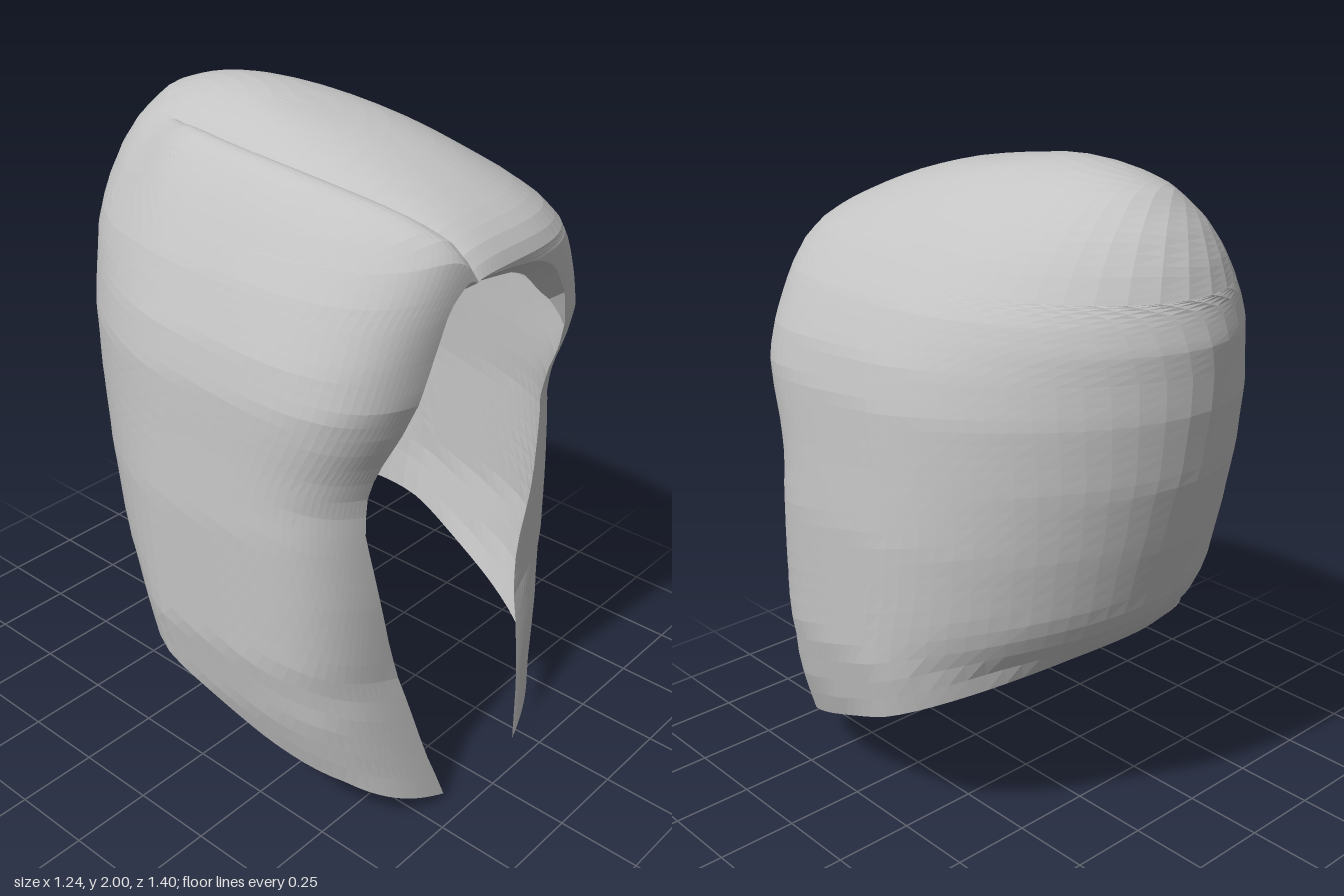
import * as THREE from 'three';

const { lerp, smoothstep } = THREE.MathUtils;

// Piecewise interpolation of [y, value] pairs, eased in sqrt(2 - y) so the dome stays round
const key = y => Math.sqrt(Math.max(0, 2 - y));
function at(table, y) {
  if (y <= table[0][0]) return table[0][1];
  for (let i = 1; i < table.length; i++) {
    const [y1, b] = table[i], [y0, a] = table[i - 1];
    if (y <= y1) return a + (b - a) * (key(y) - key(y0)) / (key(y1) - key(y0));
  }
  return table[table.length - 1][1];
}

// Horizontal section by height: half width, front, back, centre, front and back squareness
const WIDTH = [[0, .48], [.17, .51], [.28, .548], [.4, .585], [.6, .62], [1, .622], [1.2, .608], [1.38, .597],
  [1.5, .57], [1.64, .505], [1.77, .405], [1.87, .3], [1.94, .2], [1.985, .1], [2, 0]];
const FRONT = [[0, .68], [.3, .63], [.5, .595], [.8, .59], [1.1, .572], [1.2, .595], [1.3, .635], [1.4, .662],
  [1.5, .672], [1.6, .688], [1.7, .7], [1.75, .675], [1.8, .61], [1.85, .51], [1.9, .38], [1.95, .2],
  [1.98, 0], [2, -.2]];
const BACK = [[.4, -.36], [.62, -.42], [.68, -.475], [.73, -.515], [.8, -.55], [1, -.61], [1.2, -.665],
  [1.4, -.695], [1.58, -.7], [1.7, -.668], [1.77, -.64], [1.85, -.59], [1.94, -.5], [1.975, -.4], [2, -.2]];
const CENTRE = [[1.75, 0], [1.9, -.05], [1.95, -.1], [2, -.2]];
const SQUARE = [[0, 4], [.4, 4.4], [1.4, 4.4], [1.7, 3.1], [1.85, 2.4], [2, 2.1]];
const BACK_SQUARE = [[1.5, 1.8], [1.85, 2.15]];

// x of the parting at depth z, and where it ends at the back and front
const PART_BACK = -.4, PART_FRONT_X = -.15;
function partX(z) {
  const u = (z - .15) / .55;
  return -.26 + .09 * u * u + .02 * u;
}

// Face opening: x of each edge by height; both meet at the parting
const ARCH = 1.7;
const EDGE_LEFT = [[0, .21], [.2, .26], [.4, .275], [.65, .28], [.85, .36], [1.05, .4], [1.25, .385],
  [1.5, .31], [1.6, .225], [1.64, .17], [1.67, .09], [1.69, -.05], [ARCH, PART_FRONT_X]];
const EDGE_RIGHT = [[.02, -.15], [.2, -.21], [.4, -.26], [.62, -.32], [.8, -.36], [1, -.4], [1.15, -.39],
  [1.35, -.33], [1.55, -.26], [1.6, -.24], [1.64, -.2], [ARCH, PART_FRONT_X]];

function edgeAngle(table, y) {
  const x = at(table, y), n = at(SQUARE, y);
  const z = at(FRONT, y) * Math.pow(1 - Math.pow(Math.abs(x) / at(WIDTH, y), n), 1 / n);
  return Math.atan2(x, z);
}

// Relative distance of (x, z) from the section centre: 1 on the surface
function sectionNorm(x, z, y) {
  const dz = z - at(CENTRE, y), n = at(dz > 0 ? SQUARE : BACK_SQUARE, y);
  const depth = Math.abs(at(dz > 0 ? FRONT : BACK, y) - at(CENTRE, y));
  return Math.pow(Math.pow(Math.abs(x) / Math.max(at(WIDTH, y), 1e-5), n)
    + Math.pow(Math.abs(dz) / Math.max(depth, 1e-5), n), 1 / n);
}

// Point on the shell: s runs from the left face edge round the back to the right face edge
function shellPoint(s, y) {
  const a = lerp(edgeAngle(EDGE_LEFT, y), 2 * Math.PI + edgeAngle(EDGE_RIGHT, y), s);
  const zc = at(CENTRE, y), x = Math.sin(a), z = Math.cos(a);
  const r = 1 / sectionNorm(x, zc + z, y);
  return new THREE.Vector3(r * x, y, zc + r * z);
}

// Height of the dome above (x, z)
function domeHeight(x, z) {
  let low = ARCH, high = 2;
  for (let i = 0; i < 24; i++) {
    const mid = (low + high) / 2;
    if (sectionNorm(x, z, mid) < 1) low = mid; else high = mid;
  }
  return low;
}

// Sloping hem, dropping to a point beside the chin
function hemHeight(s) {
  let y = .4;
  for (let i = 0; i < 50; i++) {
    const { x, z } = shellPoint(s, y);
    const drop = (x < 0 ? .33 : .49) * Math.max(0, .45 - Math.abs(x));
    const target = .42 - .45 * z + (z > 0 ? -drop : .15 * z * z);
    y += .5 * (Math.max(0, target) - y);
  }
  return y;
}

// Crease along the parting, with the hair swept up on its right side
function addParting(p) {
  const fade = smoothstep(p.z, PART_BACK, -.15) * smoothstep(p.y, 1.45, 1.75);
  const d = partX(p.z) - p.x;
  if (d > 0) p.y += fade * .06 * (d / .08) * Math.exp(1 - d / .08);
  p.y -= fade * .015 * Math.exp(-Math.abs(d) / .03);
  return p;
}

// Mesh geometry from rows of points
function gridGeometry(rows) {
  const cols = rows[0].length, index = [];
  for (let i = 0; i < rows.length - 1; i++) {
    for (let j = 0; j < cols - 1; j++) {
      const a = i * cols + j, b = a + cols;
      index.push(a, b, a + 1, a + 1, b, b + 1);
    }
  }
  const g = new THREE.BufferGeometry().setFromPoints(rows.flat());
  g.setIndex(index);
  g.computeVertexNormals();
  return g;
}

export function createModel() {
  const group = new THREE.Group();
  group.name = 'hair';
  const grey = new THREE.MeshStandardMaterial({ color: 0xc4c4c4, side: THREE.DoubleSide, flatShading: true });
  grey.name = 'hair grey';

  // Columns sit closer together near the parting and the face edges
  const COLS = 84, DOME = 20, CURTAIN = 36;
  const columns = Array.from({ length: COLS + 1 }, (_, j) => {
    const u = j / COLS;
    return u - .7 * Math.sin(2 * Math.PI * u) / (2 * Math.PI);
  });
  const ring = columns.map(s => shellPoint(s, ARCH));
  const rows = [];

  // Dome: columns fan out from the back end of the parting, the first and last along it
  for (let i = 0; i < DOME; i++) {
    const t = 1 - (1 - i / DOME) ** 1.4;
    const seamZ = lerp(PART_BACK, ring[0].z, t);
    const bend = partX(seamZ) - lerp(partX(PART_BACK), ring[0].x, t);
    rows.push(ring.map((r, j) => {
      const near = 1 - smoothstep(Math.min(columns[j], 1 - columns[j]), 0, .4);
      const x = lerp(partX(PART_BACK), r.x, t) + bend * near;
      const z = lerp(PART_BACK, r.z, t);
      return addParting(new THREE.Vector3(x, domeHeight(x, z), z));
    }));
  }

  // Curtain: sides and back, open at the face
  const hems = columns.map(hemHeight);
  for (let i = 0; i <= CURTAIN; i++) {
    const t = (i / CURTAIN) ** 1.8;
    rows.push(hems.map((hem, j) => addParting(shellPoint(columns[j], lerp(ARCH, hem, t)))));
  }
  const shell = new THREE.Mesh(gridGeometry(rows), grey);
  shell.name = 'hairShell';
  group.add(shell);

  // Lip turned in under the fringe
  const curtain = rows.slice(DOME);
  const edge = [...curtain.map(r => r[COLS]).reverse(), ...curtain.map(r => r[0]).slice(1)]
    .filter(p => p.y > 1.35);
  const inner = edge.map(p => {
    const k = smoothstep(p.y, 1.35, 1.62);
    return new THREE.Vector3(p.x * (1 - .06 * k), p.y - .05 * k, p.z - .07 * k);
  });
  const lip = new THREE.Mesh(gridGeometry([edge, inner]), grey);
  lip.name = 'fringeLip';
  group.add(lip);
  return group;
}
